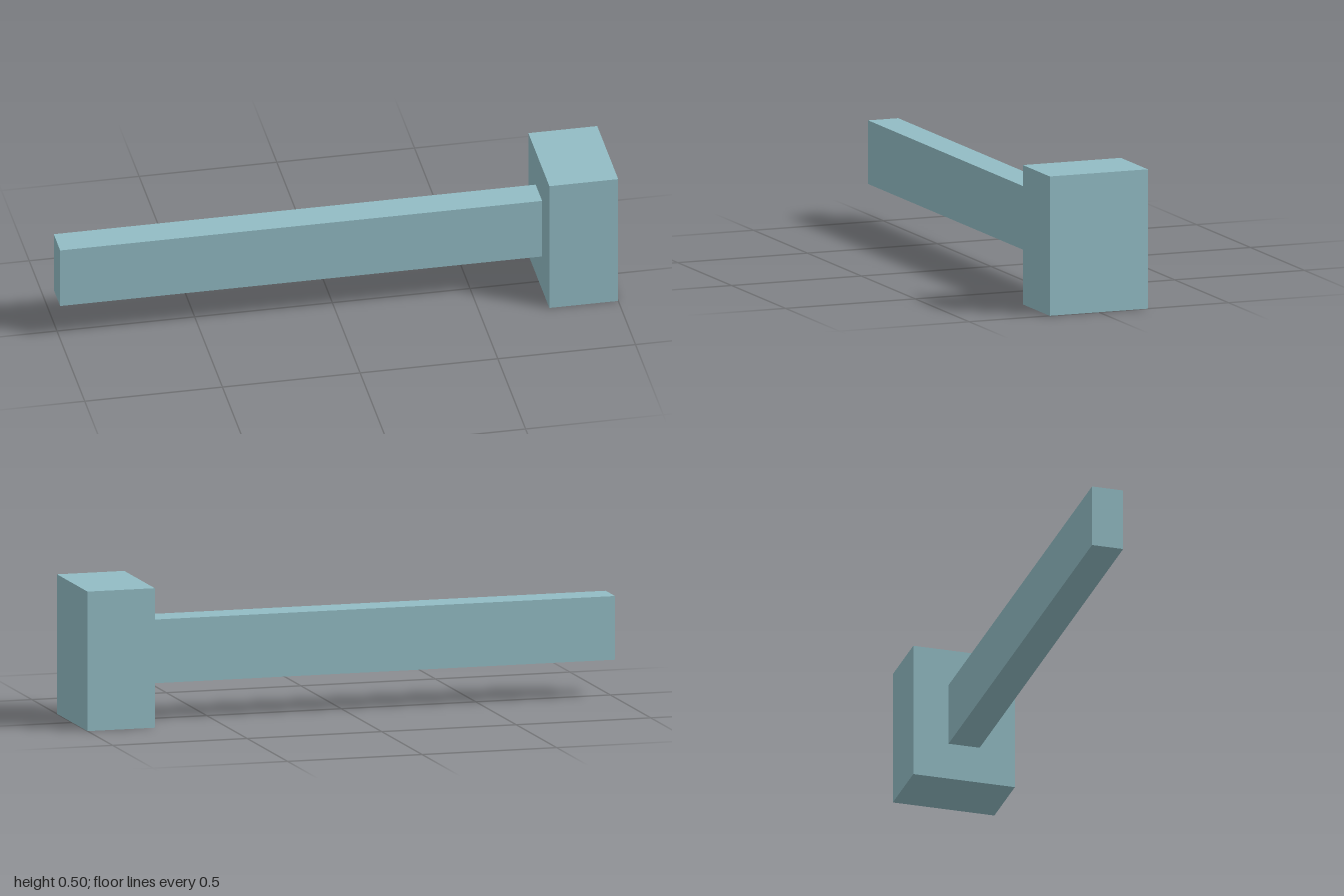
import * as THREE from 'three';

export function createModel() {
  const model = new THREE.Group();
  const paleTeal = new THREE.MeshStandardMaterial({ color: 0x92bcc4 });
  paleTeal.name = 'paleTeal';

  // Box spanning x0..x1, centred on the shared long axis
  const axisY = 0.252;
  function addBlock(name, x0, x1, height, depth) {
    const mesh = new THREE.Mesh(new THREE.BoxGeometry(x1 - x0, height, depth), paleTeal);
    mesh.name = name;
    mesh.position.set((x0 + x1) / 2, axisY, 0);
    model.add(mesh);
  }

  // Long handle, butted against the head
  addBlock('handle', -1, 0.75, 0.23, 0.116);
  // Heavy rectangular head
  addBlock('head', 0.75, 1, 0.504, 0.378);

  return model;
}
